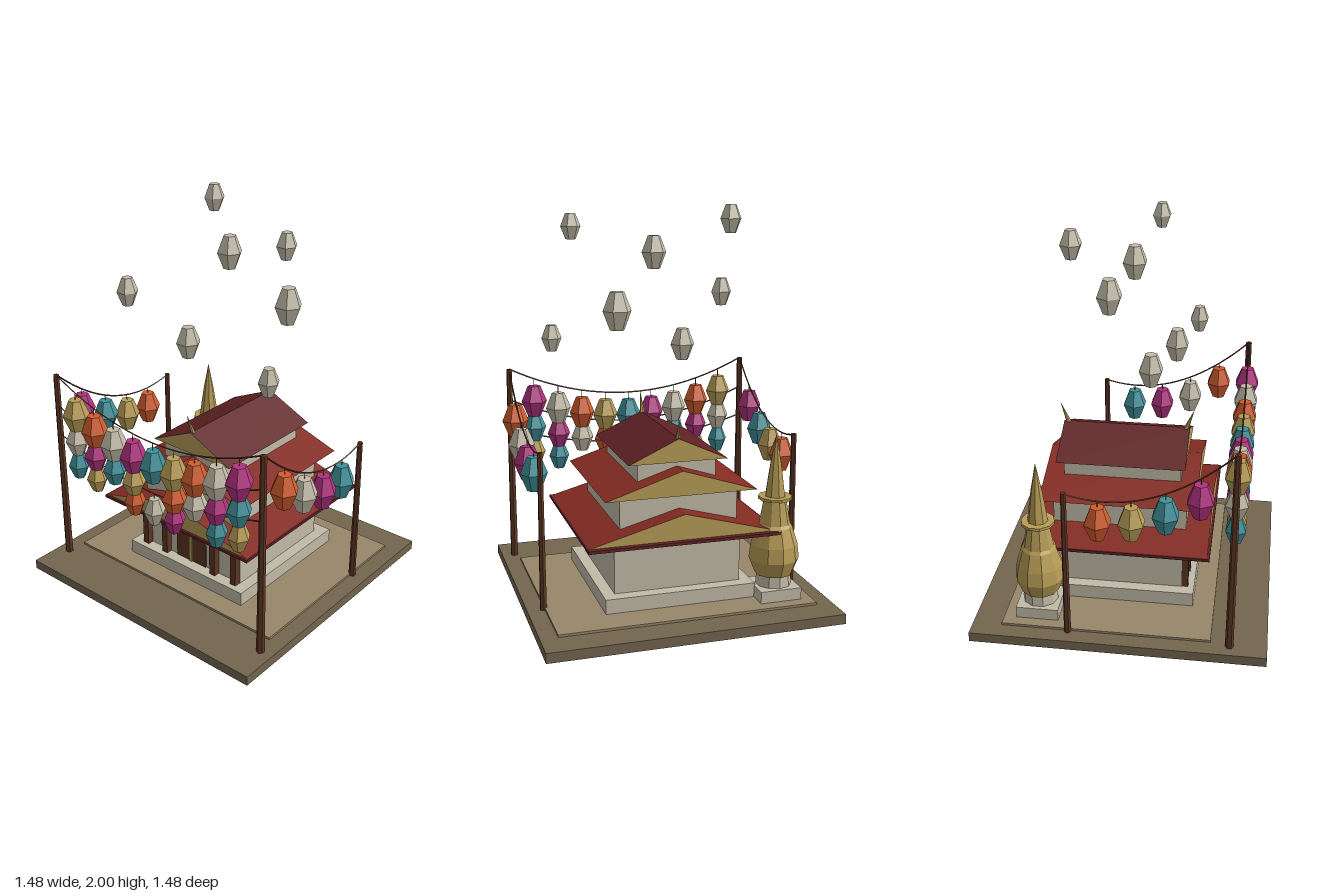
import * as THREE from 'three';

const mat = (name, color) => {
  const m = new THREE.MeshStandardMaterial({ color, flatShading: true });
  m.name = name;
  return m;
};

export function createModel() {
  const M = {
    earth: mat('earth brown', 0x74664f),
    sand: mat('sand', 0x98876a),
    plaster: mat('pale plaster', 0xc2bca8),
    red: mat('roof red', 0x842b22),
    maroon: mat('maroon', 0x602124),
    wood: mat('dark wood', 0x5c3624),
    gold: mat('gold', 0xb89d57),
    magenta: mat('magenta', 0xb0327f),
    orange: mat('orange', 0xd05c2c),
    teal: mat('teal', 0x40909a),
  };
  const root = new THREE.Group();
  root.name = 'templeWithLanterns';

  const add = (name, geo, material, x = 0, y = 0, z = 0, parent = root) => {
    const mesh = new THREE.Mesh(geo, material);
    mesh.name = name;
    mesh.position.set(x, y, z);
    parent.add(mesh);
    return mesh;
  };
  // Box given by its centre in plan and its bottom and top heights
  const box = (name, material, w, d, y0, y1, x = 0, z = 0, parent = root) =>
    add(name, new THREE.BoxGeometry(w, y1 - y0, d), material, x, (y0 + y1) / 2, z, parent);
  const lathe = (pts, sides) =>
    new THREE.LatheGeometry(pts.map(([r, y]) => new THREE.Vector2(r, y)), sides);

  // Ground slabs
  box('groundSlab', M.earth, 1.476, 1.476, 0, 0.05);
  box('courtyard', M.sand, 1.304, 1.05, 0.05, 0.062, 0, -0.065);

  // Temple
  const temple = new THREE.Group();
  temple.name = 'temple';
  temple.position.z = -0.04;
  root.add(temple);
  box('platform', M.plaster, 0.77, 0.78, 0.06, 0.135, 0, 0, temple);
  box('lowerHall', M.plaster, 0.65, 0.65, 0.135, 0.41, 0, 0, temple);
  box('middleHall', M.plaster, 0.6, 0.68, 0.42, 0.635, 0, 0, temple);
  box('upperHall', M.plaster, 0.4, 0.6, 0.64, 0.785, 0, 0, temple);
  box('lowerEave', M.maroon, 0.97, 0.945, 0.405, 0.42, 0, 0, temple);

  // Gabled roofs with golden gable ends: half width, depth, eave and ridge heights, centre
  const roof = (name, material, w, d, y0, y1, z) => {
    const tri = new THREE.Shape([[-w, y0], [w, y0], [0, y1]].map(([x, y]) => new THREE.Vector2(x, y)));
    const geo = new THREE.ExtrudeGeometry(tri, { depth: d, bevelEnabled: false });
    add(name, geo, [M.gold, material], 0, 0, z - d / 2, temple);
  };
  roof('lowerRoof', M.red, 0.475, 0.905, 0.42, 0.548, 0.008);
  roof('middleRoof', M.red, 0.386, 0.79, 0.626, 0.75, -0.004);
  roof('upperRoof', M.maroon, 0.253, 0.657, 0.777, 0.893, -0.004);

  // Horn finials at both ends of the ridge
  for (const s of [1, -1]) {
    const horn = add('ridgeFinial', new THREE.ConeGeometry(0.014, 0.125, 6), M.gold, 0, 0.94, s * 0.327 - 0.002, temple);
    horn.rotation.x = s * 0.36;
  }

  // Porch columns
  for (const x of [-0.304, -0.166, 0.166, 0.304])
    box('porchColumn', M.wood, 0.036, 0.034, 0.135, 0.41, x, 0.342, temple);

  // Arched door with gold centre strip
  const arch = new THREE.Shape();
  arch.moveTo(-0.1, 0.137);
  arch.lineTo(0.1, 0.137);
  arch.lineTo(0.1, 0.25);
  arch.absarc(0, 0.25, 0.1, 0, Math.PI, false);
  add('door', new THREE.ExtrudeGeometry(arch, { depth: 0.008, bevelEnabled: false, curveSegments: 8 }),
    M.wood, 0, 0, 0.325, temple);
  box('doorStrip', M.gold, 0.018, 0.006, 0.137, 0.349, 0, 0.336, temple);

  // Stupa in the back corner
  const stupa = new THREE.Group();
  stupa.name = 'stupa';
  stupa.position.set(-0.488, 0, -0.42);
  root.add(stupa);
  box('stupaPlinth', M.plaster, 0.215, 0.215, 0.06, 0.122, 0, 0, stupa);
  add('stupaDrum', new THREE.CylinderGeometry(0.085, 0.09, 0.07, 10), M.plaster, 0, 0.155, 0, stupa);
  add('stupaBell', lathe([[0, 0.18], [0.095, 0.18], [0.126, 0.26], [0.117, 0.335], [0.088, 0.425],
    [0.078, 0.44], [0.056, 0.56], [0.085, 0.565], [0.085, 0.58], [0, 0.58]], 10), M.gold, 0, 0, 0, stupa);
  add('stupaSpire', lathe([[0.052, 0.58], [0.04, 0.67], [0.028, 0.75], [0, 0.9]], 8), M.gold, 0, 0, 0, stupa);

  // Lantern poles
  const pole = (x, z, top, r) => {
    add('lanternPole', new THREE.CylinderGeometry(r * 0.75, r, top - 0.05, 6), M.wood, x, (top + 0.05) / 2, z);
  };
  for (const s of [1, -1]) {
    pole(s * 0.67, 0.553, 1.11, 0.021);
    pole(s * 0.657, -0.252, 0.845, 0.018);
  }

  // Hexagonal lantern, widest at its middle
  const lanternGeo = lathe([[0, -0.5], [0.5, -0.5], [1, 0], [0.5, 0.5], [0, 0.5]], 6);
  lanternGeo.rotateY(Math.PI / 6);
  const lantern = (name, material, x, y, z, r, h) =>
    add(name, lanternGeo, material, x, y, z).scale.set(r, h, r);

  // Sagging string between two points
  const hangString = (a, b, sag) => {
    const pts = [];
    for (let i = 0; i <= 12; i++) {
      const t = i / 12, p = a.clone().lerp(b, t);
      p.y -= sag * 4 * t * (1 - t);
      pts.push(p);
    }
    const curve = new THREE.CatmullRomCurve3(pts);
    add('lanternString', new THREE.TubeGeometry(curve, 24, 0.004, 4), M.wood);
  };
  const hung = (material, x, yString, z, r, h, drop) => {
    add('lanternCord', new THREE.CylinderGeometry(0.002, 0.002, drop, 4), M.wood, x, yString - drop / 2, z);
    lantern('hangingLantern', material, x, yString - drop - h / 2, z, r, h);
  };

  const { plaster: W, gold: G, magenta: P, orange: O, teal: T } = M;
  // Three front rows: pole height, sag, lantern radius, height, cord and colours (null is a gap)
  const rows = [
    [1.11, 0.165, 0.07, 0.17, 0.04, [G, O, W, P, T, G, O, W, P]],
    [0.94, 0.155, 0.063, 0.15, 0.03, [W, P, T, G, null, O, W, P, T]],
    [0.775, 0.11, 0.056, 0.14, 0.027, [T, G, null, O, W, P, null, T, G]],
  ];
  for (const [y, sag, r, h, drop, colours] of rows) {
    hangString(new THREE.Vector3(-0.67, y, 0.555), new THREE.Vector3(0.67, y, 0.555), sag);
    colours.forEach((c, i) => {
      const x = (i - 4) * 0.134;
      if (c) hung(c, x, y - sag * (1 - (x / 0.67) ** 2), 0.555, r, h, drop);
    });
  }

  // Side strings
  for (const [s, colours] of [[1, [O, W, P, T]], [-1, [P, T, G, O]]]) {
    hangString(new THREE.Vector3(s * 0.67, 1.11, 0.553), new THREE.Vector3(s * 0.657, 0.84, -0.252), 0.125);
    colours.forEach((c, i) => {
      const t = (i + 1) / 5;
      const y = 1.11 - 0.27 * t - 0.5 * t * (1 - t);
      hung(c, s * (0.67 - 0.013 * t), y, 0.553 - 0.805 * t, 0.07, 0.172, 0.03);
    });
  }

  // Floating sky lanterns: x, y, z, radius, height
  const sky = [
    [-0.295, 1.932, -0.255, 0.054, 0.136], [0.418, 1.891, 0.083, 0.051, 0.126],
    [0.015, 1.763, -0.003, 0.064, 0.163], [-0.438, 1.53, 0.25, 0.056, 0.145],
    [0.25, 1.496, -0.17, 0.072, 0.186], [-0.17, 1.279, 0.1, 0.064, 0.163],
    [0.485, 1.311, 0.285, 0.053, 0.136],
  ];
  for (const [x, y, z, r, h] of sky) lantern('skyLantern', W, x, y, z, r, h);

  return root;
}
